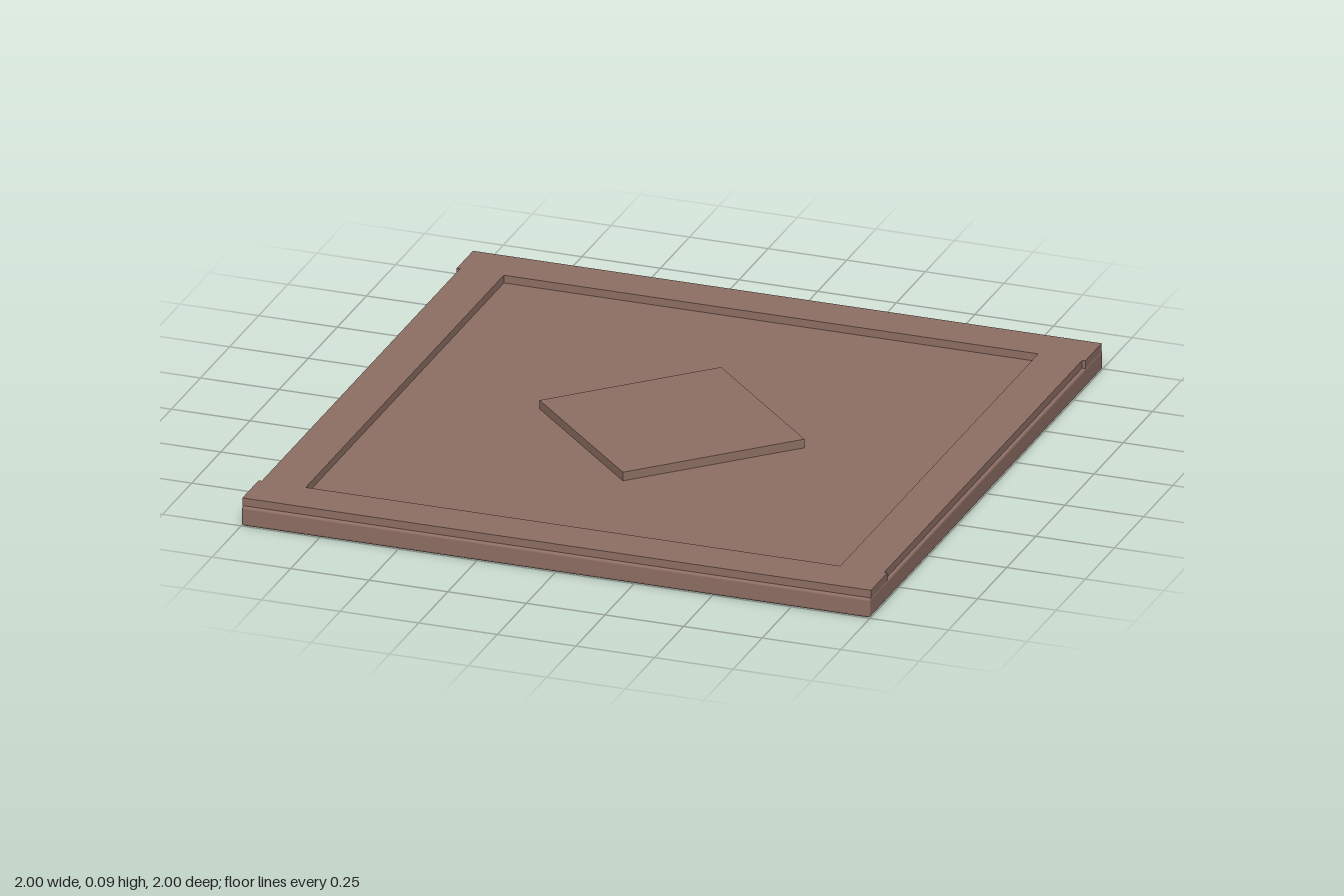
import * as THREE from 'three';
import { RoundedBoxGeometry } from 'three/addons/geometries/RoundedBoxGeometry.js';

export function createModel() {
  const group = new THREE.Group();
  const clay = new THREE.MeshStandardMaterial({ color: 0x8d6e63 });
  clay.name = 'clay brown';

  const add = (name, geometry, x, y, z) => {
    const mesh = new THREE.Mesh(geometry, clay);
    mesh.name = name;
    mesh.position.set(x, y, z);
    group.add(mesh);
    return mesh;
  };

  // Square slab with softened edges
  add('slab', new RoundedBoxGeometry(2, 0.062, 2, 2, 0.008), 0, 0.031, 0);

  // Raised border: long strips front and back, shorter ones between them
  const height = 0.027;
  const y = 0.06 + height / 2;
  for (const side of [1, -1]) {
    const end = side > 0 ? 'front' : 'back';
    const flank = side > 0 ? 'left' : 'right';
    add(end + 'Border', new THREE.BoxGeometry(2, height, 0.14), 0, y, side * 0.92);
    add(flank + 'Border', new THREE.BoxGeometry(0.14, height, 1.7), side * 0.92, y, 0);
  }

  // Raised diamond in the middle
  const diamond = add('diamond', new THREE.BoxGeometry(0.596, 0.03, 0.596), 0, 0.075, 0);
  diamond.rotation.y = Math.PI / 4;

  return group;
}
